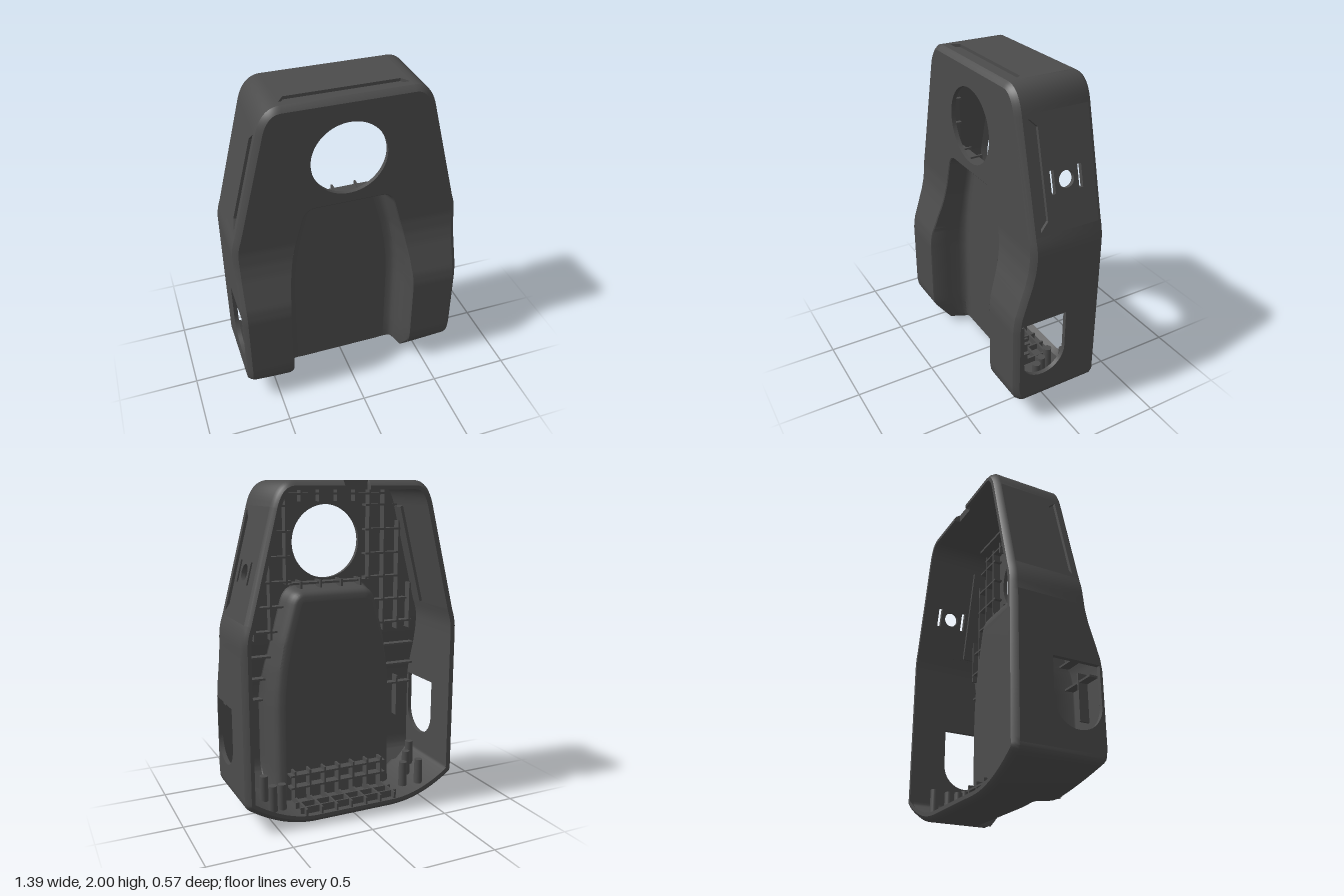
import * as THREE from 'three';
import { toCreasedNormals } from 'three/addons/utils/BufferGeometryUtils.js';

const V2 = (x, y) => new THREE.Vector2(x, y);
const BACK = -0.285, WALL = 0.026, RIM = 0.052, FLOOR = 0.04, EDGE = 0.03, SKIN = 0.026, SIDE = 0.695;

// Linear interpolation in a small [input, output] table
function interp(table, v) {
  if (v <= table[0][0]) return table[0][1];
  for (let i = 1; i < table.length; i++) {
    const [a, fa] = table[i - 1], [b, fb] = table[i];
    if (v <= b) return fa + (fb - fa) * (v - a) / (b - a);
  }
  return table[table.length - 1][1];
}
const frontZ = y => interp([[0, 0.13], [0.04, 0.165], [0.17, 0.265], [0.2, 0.278], [0.25, 0.285], [0.68, 0.285],
  [0.75, 0.275], [0.82, 0.253], [0.95, 0.212], [1.03, 0.194], [1.12, 0.185]], y);
const channelX = y => interp([[0, 0.4], [0.65, 0.4], [0.75, 0.395], [0.88, 0.38], [1.05, 0.348], [1.25, 0.293]], y);
const halfWidth = y => interp([[1.1, SIDE], [1.23, 0.67], [1.86, 0.508], [2, 0.4]], y);
const bottomY = x => 0.16 * (Math.max(x - 0.25, 0) / 0.44) ** 2;
// Channel wall: distance inside the lip -> fraction of the depth
const wallProfile = [[0, 0], [0.006, 0.03], [0.02, 0.45], [0.03, 0.78], [0.042, 0.92], [0.06, 0.98], [0.09, 1]];
// Front depth including the channel that runs out through the bottom
function depth(p) {
  const f = frontZ(p.y);
  return p.y > 1 ? f : f + (FLOOR - f) * interp(wallProfile, channelX(p.y) - Math.abs(p.x));
}

function mirrored(half) {
  const other = half.filter(p => p.x > 1e-6).map(p => V2(-p.x, p.y)).reverse();
  return [...half, ...other];
}

// Moves a counter-clockwise polyline inwards
function inset(pts, d, closed) {
  const n = pts.length;
  return pts.map((p, i) => {
    const a = pts[closed ? (i + n - 1) % n : Math.max(i - 1, 0)];
    const b = pts[closed ? (i + 1) % n : Math.min(i + 1, n - 1)];
    const t = b.clone().sub(a).normalize();
    return V2(p.x - t.y * d, p.y + t.x * d);
  });
}

// Quads between successive rings; skip(band, i, j) leaves openings
function loft(rings, closed, skip = () => false) {
  const pos = [], n = rings[0].length;
  for (let r = 0; r + 1 < rings.length; r++) {
    for (let i = 0; i < (closed ? n : n - 1); i++) {
      const j = (i + 1) % n;
      if (skip(r, i, j)) continue;
      const a = rings[r][i], b = rings[r][j], c = rings[r + 1][j], d = rings[r + 1][i];
      for (const p of [a, b, c, a, c, d]) pos.push(p.x, p.y, p.z);
    }
  }
  const g = new THREE.BufferGeometry();
  g.setAttribute('position', new THREE.Float32BufferAttribute(pos, 3));
  return toCreasedNormals(g, 0.6);
}

export function createModel() {
  const group = new THREE.Group();
  const mat = new THREE.MeshStandardMaterial({ color: 0x4c4c4c, side: THREE.DoubleSide });
  const add = (name, geo) => {
    const m = new THREE.Mesh(geo, mat);
    m.name = name;
    group.add(m);
  };
  const box = (name, x0, x1, y0, y1, z0, z1) => add(name, new THREE.BoxGeometry(x1 - x0, y1 - y0, z1 - z0)
    .translate((x0 + x1) / 2, (y0 + y1) / 2, (z0 + z1) / 2));

  // Body outline, right half from the bottom centre to the top centre
  const half = [];
  for (let i = 0; i < 58; i++) half.push(V2(0.685 * i / 58, bottomY(0.685 * i / 58)));
  half.push(V2(0.687, 0.162), V2(SIDE, 0.18));
  for (let i = 0; i <= 34; i++) half.push(V2(SIDE, 0.2 + i * 0.025));
  half.push(...new THREE.QuadraticBezierCurve(V2(SIDE, 1.1), V2(SIDE, 1.16), V2(0.67, 1.23)).getPoints(5));
  half.push(...new THREE.QuadraticBezierCurve(V2(0.508, 1.86), V2(0.472, 2), V2(0.37, 2)).getPoints(12));
  half.push(V2(0.08, 2), V2(0.075, 2), V2(0, 2));
  const outline = mirrored(half);

  // Stretches of wall filled by separate panels with openings
  const onPanel = (i, j) => {
    const ends = [outline[i], outline[j]];
    return ends.every(p => Math.abs(p.x) > SIDE - 1e-4 && p.y > 0.199 && p.y < 1.051)
      || ends.every(p => p.y > 1.229 && p.y < 1.861) || ends.every(p => p.y > 1.9999);
  };
  const ring = (d, z) => inset(outline, d, true).map((p, i) => {
    const notch = outline[i].y > 1.99 && Math.abs(outline[i].x) < 0.0751;
    return new THREE.Vector3(p.x, p.y, Math.max(z(p), notch ? -0.25 : BACK));
  });
  const face = ring(EDGE, depth);
  add('outerShell', loft([ring(RIM, () => BACK), ring(EDGE, () => BACK), ring(0.013, () => BACK + 0.013),
    ring(0, () => -0.25), ring(0, p => depth(p) - EDGE), ring(0.013, p => depth(p) - 0.013), face],
  true, (r, i, j) => r === 3 && onPanel(i, j)));
  add('innerShell', loft([ring(WALL, p => depth(p) - 0.008), ring(WALL, p => depth(p) - EDGE), ring(WALL, () => -0.25),
    ring(RIM, () => BACK)], true, (r, i, j) => r === 1 && onPanel(i, j)));

  // Channel lip, up the right side, round the top and down the left
  const lipHalf = [];
  for (let i = 0; i <= 48; i++) { const y = 0.03 + 1.21 * i / 48; lipHalf.push(V2(channelX(y), y)); }
  lipHalf.push(...new THREE.QuadraticBezierCurve(V2(0.29, 1.26), V2(0.27, 1.35), V2(0.2, 1.35)).getPoints(10), V2(0, 1.35));
  const lip = mirrored(lipHalf);
  // Front and rear faces of the channel
  for (const [name, t] of [['channelFront', 0], ['channelRear', SKIN]]) {
    const rings = wallProfile.map(([d, k]) => inset(lip, d - t, false).map((p, i) =>
      new THREE.Vector3(p.x, p.y, frontZ(lip[i].y) * (1 - k) + FLOOR * k - t)));
    add(name + 'Wall', loft(rings, false));
    const floor = rings[rings.length - 1].map(p => V2(p.x, p.y));
    add(name + 'Floor', new THREE.ShapeGeometry(new THREE.Shape(floor)).translate(0, 0, FLOOR - t));
  }

  // Curved front either side of the channel, outside and inside faces
  const split = 1.235;
  for (const s of [1, -1]) {
    const name = s > 0 ? 'leftWing' : 'rightWing';
    const outer = face.filter(p => p.x * s > 0.395 && p.y < split);
    const inner = outer.map(p => new THREE.Vector3(s * channelX(p.y), p.y, frontZ(p.y)));
    add(name, loft([outer, inner], false));
    const rear = [inner, outer].map(row => row.filter(p => p.y > 0.1)
      .map(p => new THREE.Vector3(p.x, p.y, p.z - SKIN)));
    add(name + 'Rear', loft(rear, false));
  }

  // Flat upper front with the round opening
  const below = face.filter(p => p.y < split);
  const yJoin = Math.max(...below.map(p => p.y));
  const xJoin = Math.max(...below.filter(p => p.y === yJoin).map(p => p.x));
  const top = face.filter(p => p.y > yJoin).map(p => V2(p.x, p.y));
  const plate = new THREE.Shape([V2(xJoin, yJoin), ...top, V2(-xJoin, yJoin), V2(-channelX(yJoin), yJoin),
    ...lip.filter(p => p.y > yJoin).reverse(), V2(channelX(yJoin), yJoin)]);
  plate.holes.push(new THREE.Path().absarc(0, 1.632, 0.225, 0, Math.PI * 2, true));
  add('upperFront', new THREE.ExtrudeGeometry(plate, { depth: SKIN, bevelEnabled: false, curveSegments: 48 })
    .translate(0, 0, 0.185 - SKIN));

  // Wall panel drawn in (distance along the wall, z), sunk below the surface
  function panel(name, from, to, shape, sunk, thick, flip) {
    const X = new THREE.Vector3(to.x - from.x, to.y - from.y, 0).normalize();
    const Y = new THREE.Vector3(0, 0, 1), Z = X.clone().cross(Y);
    const g = new THREE.ExtrudeGeometry(shape, { depth: thick, bevelEnabled: false, curveSegments: 20 });
    g.translate(0, 0, flip ? -thick - sunk : sunk);
    g.applyMatrix4(new THREE.Matrix4().makeBasis(X, Y, Z).setPosition(from.x, from.y, 0));
    add(name, g);
  }
  const rect = (a, b, c, d) => [V2(a, c), V2(b, c), V2(b, d), V2(a, d)];
  const front = 0.155;

  for (const s of [1, -1]) {
    const side = s > 0 ? 'left' : 'right';
    // Lower side with the round-ended window
    const edge = [];
    for (let i = 34; i >= 0; i--) { const y = 0.2 + i * 0.025; edge.push(V2(y - 0.2, frontZ(y) - EDGE)); }
    const low = new THREE.Shape([V2(0, -0.25), V2(0.85, -0.25), ...edge]);
    const win = new THREE.Path().moveTo(0.5, -0.047);
    win.lineTo(0.26, -0.047).absarc(0.26, 0.1, 0.147, -Math.PI / 2, -Math.PI * 1.5, true).lineTo(0.5, 0.247);
    low.holes.push(win);
    panel(side + 'LowerSide', V2(s * SIDE, 0.2), V2(s * SIDE, 1.05), low, 0, WALL, s > 0);
    // Upper side with the finger groove
    const A = V2(s * 0.67, 1.23), B = V2(s * 0.508, 1.86), len = A.distanceTo(B);
    const high = new THREE.Shape(rect(0, len, -0.25, front));
    const groove = [V2(0.025, 0.12), V2(len - 0.02, 0.12), V2(len - 0.07, 0.07), V2(0.075, 0.07)];
    high.holes.push(new THREE.Path(groove));
    if (s > 0) {
      // Round port with a slot on either side
      high.holes.push(new THREE.Path().absarc(0.275, -0.07, 0.048, 0, Math.PI * 2, true));
      for (const z of [-0.17, 0.005]) high.holes.push(new THREE.Path(rect(0.21, 0.34, z, z + 0.025)));
    }
    panel(side + 'UpperSide', A, B, high, 0, WALL, s > 0);
    panel(side + 'GrooveFloor', A, B, new THREE.Shape(rect(0.01, len - 0.01, 0.055, 0.135)), 0.02, 0.025, s > 0);
  }

  // Top wall with its groove
  const T0 = V2(-0.37, 2), T1 = V2(0.37, 2);
  const lid = new THREE.Shape(rect(0, 0.74, -0.25, front));
  lid.holes.push(new THREE.Path([V2(0.004, 0.112), V2(0.736, 0.112), V2(0.7, 0.06), V2(0.04, 0.06)]));
  panel('topWall', T0, T1, lid, 0, WALL, false);
  panel('topGrooveFloor', T0, T1, new THREE.Shape(rect(0, 0.74, 0.05, 0.12)), 0.018, 0.025, false);

  // Rib lattice behind the front, either side of the channel and opening
  const span = (name, s, x0, x1, ...rest) => box(name, Math.min(s * x0, s * x1), Math.max(s * x0, s * x1), ...rest);
  for (const s of [1, -1]) {
    for (const y of [0.65, 0.79, 0.94, 1.1, 1.25, 1.4, 1.55, 1.7, 1.85]) {
      const x0 = y < 1.38 ? channelX(y) + 0.012 : 0.25;
      const x1 = Math.min(halfWidth(y) - 0.04, x0 + 0.25);
      const z = frontZ(y + 0.006) - 0.01;
      span('crossRib', s, x0, x1, y - 0.006, y + 0.006, z - 0.07, z);
    }
    for (const [x, y0, y1] of [[0.28, 1.385, 1.95], [0.385, 1.05, 1.95], [0.49, 1.05, 1.75], [0.58, 1.05, 1.35]])
      span('uprightRib', s, x - 0.006, x + 0.006, y0, y1, 0.105, 0.17);
    // Screw posts in the lower corners
    for (const [x, z] of [[0.42, -0.12], [0.5, -0.02], [0.5, -0.18], [0.57, 0.06]])
      add('screwPost', new THREE.CylinderGeometry(0.025, 0.028, 0.16, 16).translate(s * x, bottomY(x) + 0.11, z));
  }
  // Upright rib behind the right window
  box('windowRib', -0.556, -0.544, 0.42, 0.7, 0.2, 0.27);
  // Ribs above the opening and above the channel
  for (const x of [-0.18, -0.06, 0.06, 0.18]) box('topRib', x - 0.006, x + 0.006, 1.875, 1.97, 0.105, 0.165);
  box('topRib', -0.4, 0.4, 1.914, 1.926, 0.105, 0.165);
  box('channelTopRib', -0.27, 0.27, 1.382, 1.394, 0.09, 0.165);
  for (const x of [-0.2, -0.07, 0.07, 0.2]) box('channelTopRib', x - 0.006, x + 0.006, 1.36, 1.405, 0.07, 0.165);
  // Grid at the foot of the channel
  const rear = FLOOR - SKIN + 0.01;
  for (let i = -3; i <= 3; i++) {
    box('footRib', i * 0.1 - 0.006, i * 0.1 + 0.006, 0.02, 0.24, -0.045, rear);
    box('footRib', i * 0.1 - 0.006, i * 0.1 + 0.006, 0.02, 0.07, -0.23, rear);
  }
  for (const y of [0.13, 0.21]) box('footRib', -0.33, 0.33, y - 0.006, y + 0.006, -0.045, rear);
  for (const z of [-0.19, -0.11]) box('footRib', -0.33, 0.33, 0.02, 0.07, z - 0.006, z + 0.006);
  return group;
}
